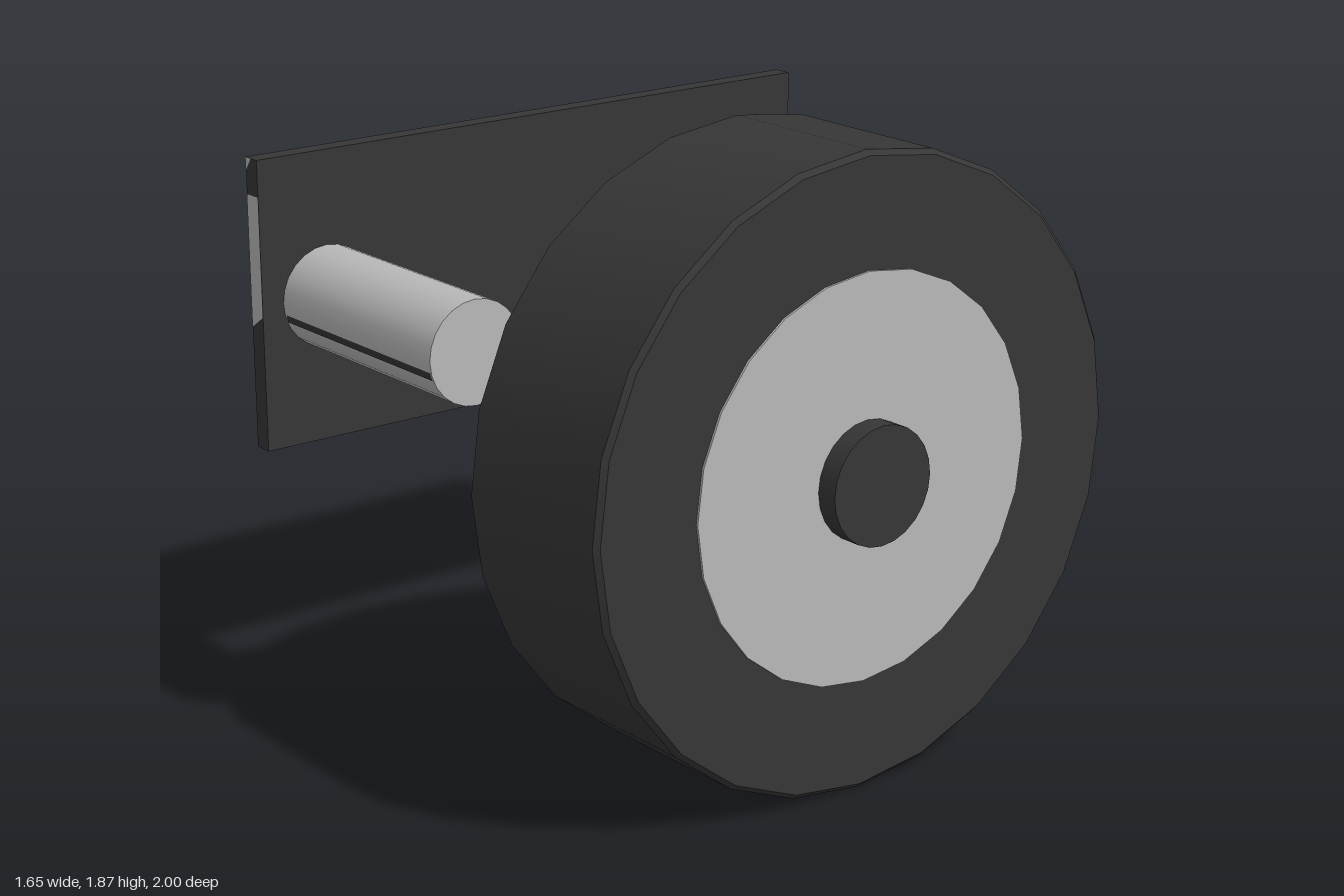
import * as THREE from 'three';
import { toCreasedNormals } from 'three/addons/utils/BufferGeometryUtils.js';

export function createModel() {
  const model = new THREE.Group();
  const dark = new THREE.MeshStandardMaterial({ color: 0x363636 });
  dark.name = 'dark grey';
  const light = new THREE.MeshStandardMaterial({ color: 0xb8b8b8 });
  light.name = 'light grey';

  const add = (name, geometry, material, x = 0, y = 0, z = 0) => {
    const mesh = new THREE.Mesh(geometry, material);
    mesh.name = name;
    mesh.position.set(x, y, z);
    model.add(mesh);
    return mesh;
  };

  // Cylinder lying along x from x0 to x1
  const rod = (name, material, r, x0, x1, y, z) =>
    add(name, new THREE.CylinderGeometry(r, r, x1 - x0, 24).rotateZ(Math.PI / 2), material, (x0 + x1) / 2, y, z);

  // Thin curved band on a rod; angles in degrees from the front (+z) towards the top
  const band = (name, r, x0, x1, y, z, a0, a1) => {
    const g = new THREE.CylinderGeometry(r, r, x1 - x0, 6, 1, true,
      THREE.MathUtils.degToRad(a0), THREE.MathUtils.degToRad(a1 - a0));
    add(name, g.rotateZ(Math.PI / 2), dark, (x0 + x1) / 2, y, z);
  };

  const axleY = 0.935, shaftY = 1.27, shaftZ = 0.775;

  // Tyre with a small chamfer on both rims
  const half = 0.29, R = 0.935, c = 0.015;
  const profile = [[0, -half], [R - c, -half], [R, -half + c], [R, half - c], [R - c, half], [0, half]]
    .map(([r, h]) => new THREE.Vector2(r, h));
  const tyre = toCreasedNormals(new THREE.LatheGeometry(profile, 24), 0.5).rotateZ(Math.PI / 2);
  add('tyre', tyre, dark, 0.46, axleY, 0);

  // Hub disc, cap and axle
  rod('hub', light, 0.6, 0.163, 0.757, axleY, 0);
  rod('hubCap', dark, 0.176, 0.75, 0.825, axleY, 0);
  rod('axle', light, 0.108, -0.16, 0.17, axleY, 0);
  band('axleLowerMark', 0.11, -0.16, 0, axleY, 0, -80, -35);
  band('axleEndMark', 0.11, -0.16, -0.09, axleY, 0, 90, 180);

  // Upper shaft with its dark lines
  rod('shaft', light, 0.154, -0.77, -0.01, shaftY, shaftZ);
  band('shaftFrontLine', 0.1555, -0.76, -0.012, shaftY, shaftZ, -21, -12);
  band('shaftTopLine', 0.1555, -0.76, -0.012, shaftY, shaftZ, 140, 145);
  band('shaftTopMark', 0.1555, -0.76, -0.3, shaftY, shaftZ, 135, 146);

  // Sloping arm joining axle and shaft
  const length = Math.hypot(shaftZ, shaftY - axleY);
  const arm = add('arm', new THREE.BoxGeometry(0.13, 0.16, length), dark,
    -0.165, (axleY + shaftY) / 2, shaftZ / 2);
  arm.rotation.x = -Math.atan2(shaftY - axleY, shaftZ);

  // Mounting plate with light patches on its front edge
  add('mountingPlate', new THREE.BoxGeometry(0.06, 0.88, 2), dark, -0.8, 1.27, 0);
  const patch = (name, corners) => add(name,
    new THREE.ShapeGeometry(new THREE.Shape(corners.map(([x, y]) => new THREE.Vector2(x, y)))),
    light, 0, 0, 1.001);
  patch('plateEdgePatch', [[-0.83, 1.2], [-0.8, 1.22], [-0.77, 1.24], [-0.77, 1.6], [-0.83, 1.6]]);
  patch('plateEdgeCorner', [[-0.83, 1.67], [-0.8, 1.71], [-0.83, 1.71]]);

  return model;
}
